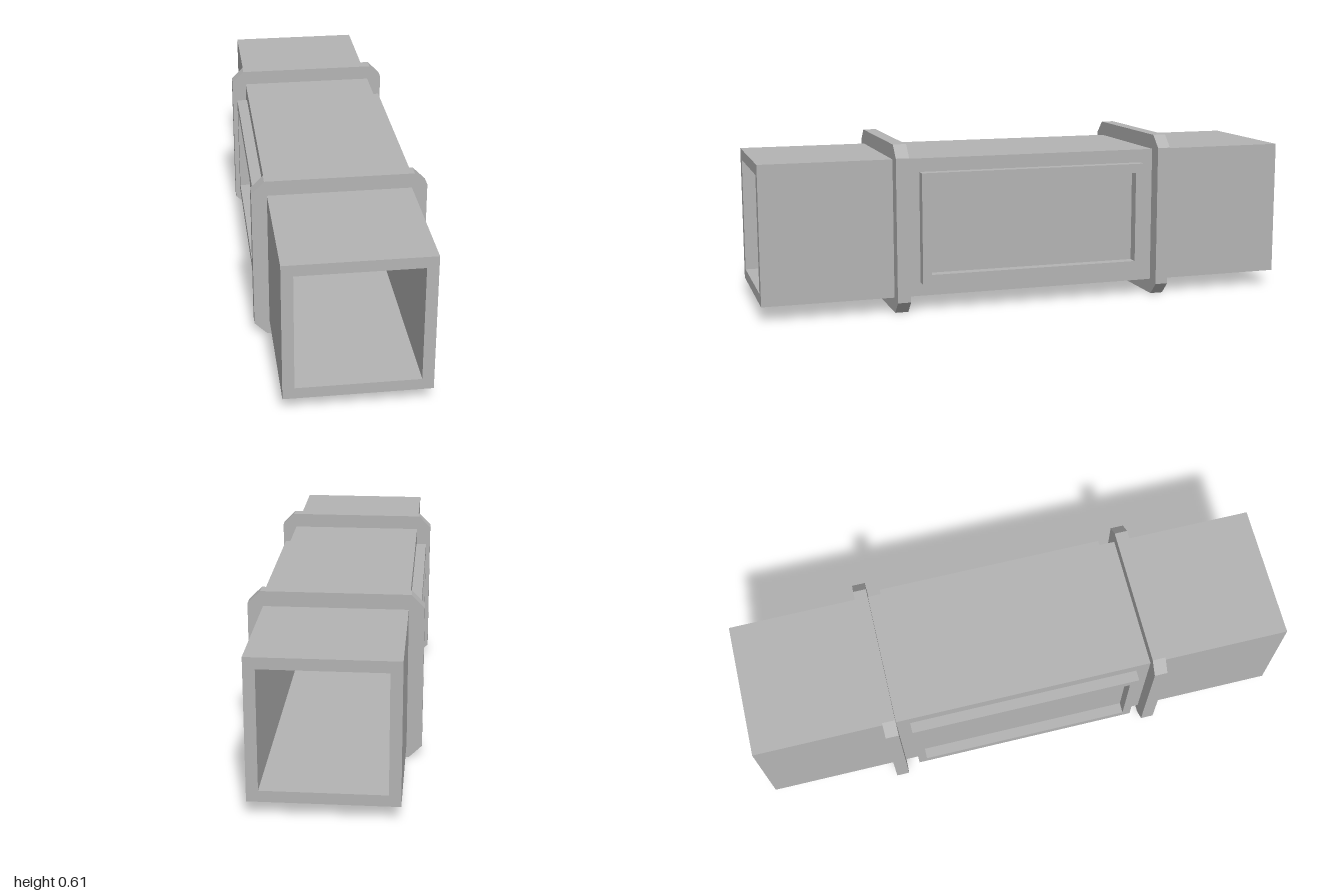
import * as THREE from 'three';

const CENTER_Y = 0.305;

// Rectangle outline with optional cut corners, centred on the origin
function outline(PathType, halfW, halfH, cut = 0) {
  const w = halfW, h = halfH, c = cut;
  const corners = c
    ? [[w - c, -h], [w, -h + c], [w, h - c], [w - c, h], [-w + c, h], [-w, h - c], [-w, -h + c], [-w + c, -h]]
    : [[w, -h], [w, h], [-w, h], [-w, -h]];
  return new PathType(corners.map(([x, y]) => new THREE.Vector2(x, y)));
}

// Extrude an outline with a rectangular hole, centred along its depth
function hollow(shape, holeW, holeH, depth) {
  shape.holes.push(outline(THREE.Path, holeW, holeH));
  const geometry = new THREE.ExtrudeGeometry(shape, { depth, bevelEnabled: false });
  geometry.translate(0, 0, -depth / 2);
  return geometry;
}

export function createModel() {
  const model = new THREE.Group();
  model.name = 'squareDuct';
  const metal = new THREE.MeshStandardMaterial({ color: 0xb4b4b4 });
  metal.name = 'grey metal';

  function add(name, geometry, x, z) {
    const mesh = new THREE.Mesh(geometry, metal);
    mesh.name = name;
    mesh.position.set(x, CENTER_Y, z);
    model.add(mesh);
  }

  // Open square tube
  add('ductTube', hollow(outline(THREE.Shape, 0.251, 0.251), 0.211, 0.211, 2), 0, 0);

  // Collars with cut corners
  const collar = hollow(outline(THREE.Shape, 0.305, 0.305, 0.045), 0.251, 0.251, 0.048);
  add('frontCollar', collar, 0, 0.5);
  add('backCollar', collar, 0, -0.5);

  // Raised rectangular frames on both sides
  const frame = hollow(outline(THREE.Shape, 0.427, 0.202), 0.395, 0.168, 0.04);
  frame.rotateY(Math.PI / 2);
  add('leftSideFrame', frame, 0.27, 0);
  add('rightSideFrame', frame, -0.27, 0);

  return model;
}
